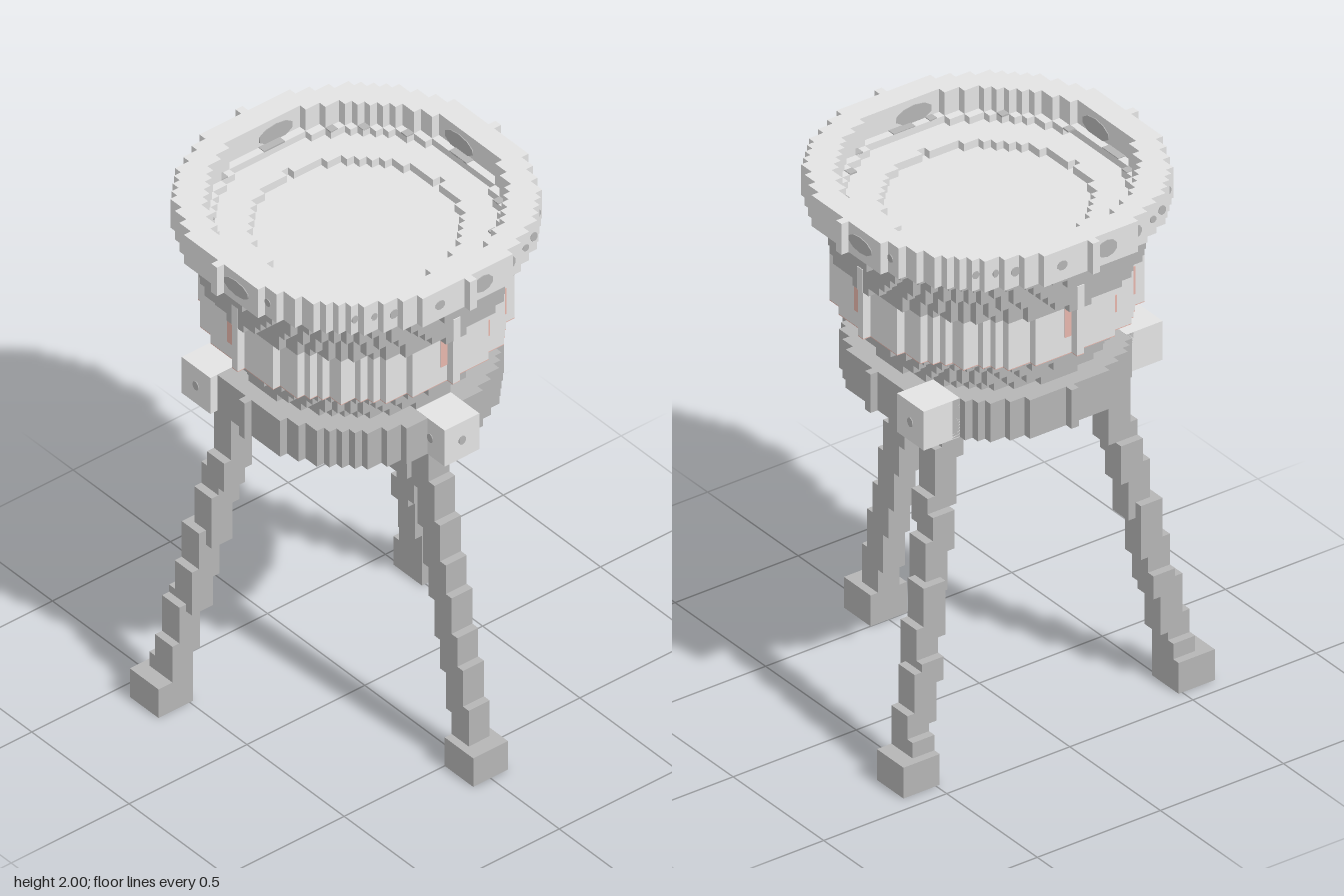
import * as THREE from 'three';
import { mergeGeometries } from 'three/addons/utils/BufferGeometryUtils.js';

const V = 2 / 68; // edge of one block

const mat = (name, color) => {
  const m = new THREE.MeshStandardMaterial({ color });
  m.name = name;
  return m;
};

// half width of a disc of blocks at column i
const half = (r, i) => Math.floor(Math.sqrt(r * r - i * i) + 1e-6) + 0.5;

// stair-stepped outline of a disc made of unit blocks
function discPoints(r) {
  const n = Math.floor(r), pts = [];
  for (let i = -n; i <= n; i++) pts.push([i - 0.5, -half(r, i)], [i + 0.5, -half(r, i)]);
  for (let i = n; i >= -n; i--) pts.push([i + 0.5, half(r, i)], [i - 0.5, half(r, i)]);
  return pts
    .filter((p, k) => k === 0 || p[0] !== pts[k - 1][0] || p[1] !== pts[k - 1][1])
    .map(p => new THREE.Vector2(p[0], p[1]));
}

// flat slab of blocks from y0 up, with an optional round hole
function slab(r, y0, h, hole = 0) {
  const s = new THREE.Shape(discPoints(r));
  if (hole) s.holes.push(new THREE.Path(discPoints(hole)));
  const g = new THREE.ExtrudeGeometry(s, { depth: h, bevelEnabled: false });
  g.rotateX(-Math.PI / 2);
  g.translate(0, y0, 0);
  return g;
}

function box(w, h, d, x, y, z) {
  const g = new THREE.BoxGeometry(w, h, d);
  g.translate(x, y, z);
  return g;
}

// thin oval patch facing +z
function oval(w, h, x, y, z) {
  const g = new THREE.CylinderGeometry(0.5, 0.5, 0.2, 10);
  g.rotateX(Math.PI / 2);
  g.scale(w, h, 1);
  g.translate(x, y, z);
  return g;
}

export function createModel() {
  const light = mat('pale stone', 0xe3e3e3);
  const dark = mat('grey stone', 0xb5b5b5);
  const ember = mat('ember red', 0xe6b6ac);

  const root = new THREE.Group();
  root.name = 'brazier';
  const body = new THREE.Group();
  body.name = 'brazierBody';
  body.scale.setScalar(V);
  body.position.x = -1.5 * V;
  root.add(body);

  const add = (name, geos, material) => {
    const m = new THREE.Mesh(geos.length > 1 ? mergeGeometries(geos) : geos[0], material);
    m.name = name;
    body.add(m);
  };

  // lower ring, hollowed in steps underneath
  add('lowerRing', [13, 12, 11, 10, 9.2].map((hole, k) => slab(16, 42 + k, 1, hole)), dark);
  add('lowerFloor', [slab(9.2, 46.9, 0.1)], ember);

  // bowl: flaring foot, straight band, flaring neck
  add('bowlFoot', [13.2, 13.7, 14.1, 14.6, 15.2].map((r, k) => slab(r, 47 + k, 1)), dark);
  add('bandUnderside', [slab(17, 51.9, 0.1, 15.2)], ember);
  add('bowlBand', [slab(17, 52, 6)], light);
  add('bowlNeck', [17.1, 17.3, 17.6, 17.9, 18.2, 18.6].map((r, k) => slab(r, 58 + k, 1, 15)), dark);

  // rim and the inside of the bowl
  add('rim', [slab(20, 64, 4, 16.9)], light);
  add('innerLedge', [slab(16.9, 64, 1, 15.9)], light);
  add('innerShelf', [slab(16, 63.1, 1, 12)], light);
  add('bowlFloor', [slab(12, 62.9, 0.2)], light);

  // patches on the rim: offset, width, height; front/back and side patterns alternate
  const rimSpots = [
    [[2.7, 4.4, 2], [7, 1, 1], [-9, 0.8, 0.8]],
    [[2.2, 2.8, 2.2], [-4, 1.4, 1.2], [-9, 1.2, 1.2], [-11, 0.8, 1], [-13, 0.9, 1],
      [7, 1.4, 1.6], [10, 0.9, 0.9], [12, 1, 1.2], [15, 0.9, 1.2]],
  ];
  // glowing cracks on the band: offset, height, centre y
  const bandCracks = [
    [[-2, 4, 56]],
    [[-1, 4, 56.2], [6, 2.2, 55.4], [10, 3.6, 56]],
  ];
  const spots = [], cracks = [], ribs = [];
  for (let k = 0; k < 4; k++) {
    const turn = g => g.rotateY(k * Math.PI / 2);
    for (const [x, w, h] of rimSpots[k % 2]) {
      spots.push(turn(oval(w, h, x, 66, half(20, Math.round(x)))));
    }
    for (const [x, h, y] of bandCracks[k % 2]) {
      cracks.push(turn(box(0.9, h, 0.2, x, y, half(17, x))));
    }
    spots.push(turn(oval(5, 2.4, k % 2 ? -2 : 2, 66, 16.5)));
    ribs.push(turn(box(1, 3, 0.2, 0, 59.5, 17.5)));
  }
  // dark blocks scattered along the inner ledge
  for (let k = 0; k < 16; k++) {
    const a = (k + 0.3 * Math.sin(k * 5)) * Math.PI / 8;
    const w = k % 4 ? 1 : 3;
    const sideways = k % 8 === 0;
    spots.push(box(sideways ? 1 : w, 0.2, sideways ? w : 1,
      Math.round(16.2 * Math.cos(a)), 65, Math.round(16.2 * Math.sin(a))));
  }
  add('darkPatches', spots, dark);
  add('bandCracks', cracks, ember);
  add('neckRibs', ribs, light);

  // three stepped legs with feet and ring blocks
  const legs = [
    ['leftLeg', 1, 0],
    ['frontRightLeg', -0.52, 0.895],
    ['backRightLeg', -0.52, -0.895],
  ];
  for (const [name, cx, cz] of legs) {
    const parts = [];
    let start = 4;
    const at = y => {
      const r = THREE.MathUtils.lerp(20.3, 12, (y - 4) / 38);
      return [Math.round(cx * r), Math.round(cz * r)];
    };
    for (let y = 4; y < 42; y++) {
      const [x, z] = at(y), [nx, nz] = at(y + 1);
      if (y === 41 || nx !== x || nz !== z) {
        // neighbouring segments overlap by two blocks
        const lo = Math.max(start - 1, 3), hi = Math.min(y + 2, 42);
        parts.push(box(3, hi - lo, 3, x, (lo + hi) / 2, z));
        start = y + 1;
      }
    }
    add(name, parts, dark);
    add(name + 'Foot', [box(5, 4, 5, Math.round(cx * 21), 2, Math.round(cz * 21))], dark);
    const bx = Math.round(cx * 16), bz = Math.round(cz * 15.8);
    add(name + 'RingBlock', [box(5, 5.04, 5, bx, 44.5, bz)], light);
    // small patches on the outer faces of the block
    add(name + 'BlockPatch', [
      oval(1, 1.2, bx, 44.5, bz + 2.5),
      oval(1, 1.2, bx, 44.5, bz - 2.5),
      oval(1, 1.2, 0, 0, 2.5).rotateY(Math.PI / 2).translate(bx, 44.5, bz),
    ], dark);
  }

  return root;
}
